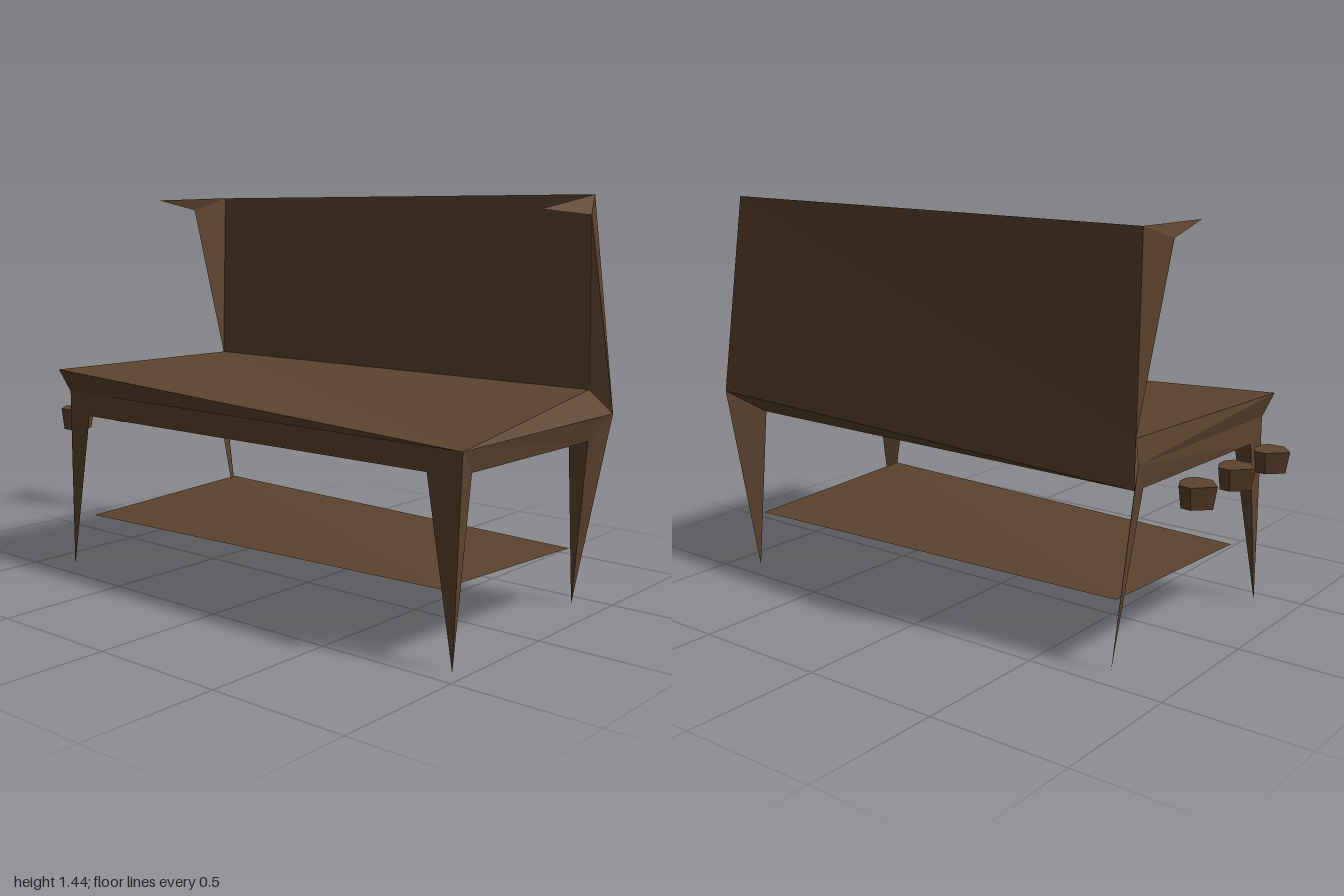
import * as THREE from 'three';

export function createModel() {
  const group = new THREE.Group();
  group.name = 'workbench';
  const wood = new THREE.MeshStandardMaterial({ color: 0x5c432e, side: THREE.DoubleSide, flatShading: true });
  wood.name = 'dark brown wood';

  // Facets: each face is a list of corners, counter-clockwise from outside
  function facets(name, faces) {
    const pos = [];
    for (const f of faces) {
      for (let i = 1; i < f.length - 1; i++) pos.push(...f[0], ...f[i], ...f[i + 1]);
    }
    const geo = new THREE.BufferGeometry();
    geo.setAttribute('position', new THREE.Float32BufferAttribute(pos, 3));
    geo.computeVertexNormals();
    const mesh = new THREE.Mesh(geo, wood);
    mesh.name = name;
    group.add(mesh);
  }

  // Shared corners of the table top and backboard
  const topFL = [-0.87, 0.785, 0.46], topBR = [0.94, 0.785, -0.39], topBL = [-0.82, 0.785, -0.39];
  const lowFL = [-0.84, 0.70, 0.43], lowFR = [1.0, 0.70, 0.46];
  const lowBR = [1.0, 0.70, -0.455], lowBL = [-0.83, 0.70, -0.39];
  const backL = [-0.87, 1.44, -0.46], backR = [0.94, 1.448, -0.39];

  // Legs: outer corner, inner corner along x, inner corner along z, pointed foot
  const legs = {
    frontLeftLeg: [[0.98, 0.70, 0.43], [0.85, 0.615, 0.43], [0.96, 0.615, 0.35], [0.955, 0.005, 0.43]],
    backLeftLeg: [lowBR, [0.89, 0.615, -0.35], [0.97, 0.615, -0.34], [0.88, 0.005, -0.42]],
    frontRightLeg: [lowFL, [-0.73, 0.615, 0.43], [-0.84, 0.615, 0.35], [-0.84, 0.005, 0.43]],
    backRightLeg: [lowBL, [-0.815, 0.615, -0.385], [-0.82, 0.615, -0.34], [-0.765, 0.01, -0.42]],
  };
  for (const [name, [outer, alongX, alongZ, foot]] of Object.entries(legs)) {
    facets(name, [[outer, alongX, foot], [outer, foot, alongZ], [alongX, alongZ, foot]]);
  }
  const { frontLeftLeg: fl, backLeftLeg: bl, frontRightLeg: fr, backRightLeg: br } = legs;

  // Table top, falling away to its front left corner, with a narrow overhang
  facets('tableTop', [
    [topFL, lowFR, topBL], [topBL, lowFR, topBR],
    [topFL, lowFL, lowFR],
    [lowFR, lowBR, topBR],
    [topFL, topBL, lowBL, lowFL],
    [lowFL, fl[0], lowFR], [lowFR, fl[0], lowBR],
  ]);

  // Aprons joining the legs, and the board closing them below
  facets('frontApron', [[fr[0], fr[1], fl[1], fl[0]]]);
  facets('leftApron', [[fl[0], fl[2], bl[2], bl[0]]]);
  facets('rightApron', [[br[0], br[2], fr[2], fr[0]]]);
  facets('backApron', [[lowBR, br[1], topBL], [lowBR, bl[1], br[1]]]);
  facets('underside', [[fl[1], fr[1], fr[2], br[2], br[1], bl[1], bl[2], fl[2]]]);

  // Twisted backboard
  facets('backboard', [
    [topBL, topBR, backR], [topBL, backR, backL],
    [backR, lowBR, topBL],
  ]);

  // Side wings with pointed brackets
  const wingR = [0.995, 1.38, -0.27], wingL = [-0.865, 1.39, -0.27];
  facets('leftWing', [
    [backR, wingR, lowBR], [wingR, topBR, lowBR], [backR, topBR, wingR],
    [backR, [0.94, 1.40, -0.04], wingR],
  ]);
  facets('rightWing', [
    [backL, topBL, wingL],
    [backL, wingL, [-0.83, 1.43, -0.04]],
  ]);

  // Thin lower shelf: a flat wedge with opposite corners raised
  const sFL = [-0.76, 0.215, 0.39], sFR = [0.88, 0.245, 0.39];
  const sBR = [0.88, 0.215, -0.39], sBL = [-0.76, 0.245, -0.39];
  facets('lowerShelf', [[sFL, sFR, sBL], [sFR, sBR, sBL], [sFL, sBR, sFR], [sFL, sBL, sBR]]);

  // Chunky pegs beside the bench, narrowing downward
  const outline = [[-0.066, 0], [-0.005, -0.065], [0.04, -0.06], [0.064, -0.01], [0.064, 0.03], [0.045, 0.06], [-0.016, 0.06]];
  [0.33, 0.07, -0.19].forEach((z, n) => {
    const top = outline.map(([px, pz]) => [px - 0.934, 0.615, pz + z]);
    const bottom = outline.map(([px, pz]) => [px * 0.85 - 0.926, 0.535, pz * 0.8 + z + 0.008]);
    const sides = top.map((p, i) => {
      const j = (i + 1) % top.length;
      return [p, top[j], bottom[j], bottom[i]];
    });
    facets('peg' + (n + 1), [[...top].reverse(), bottom, ...sides]);
  });

  return group;
}
